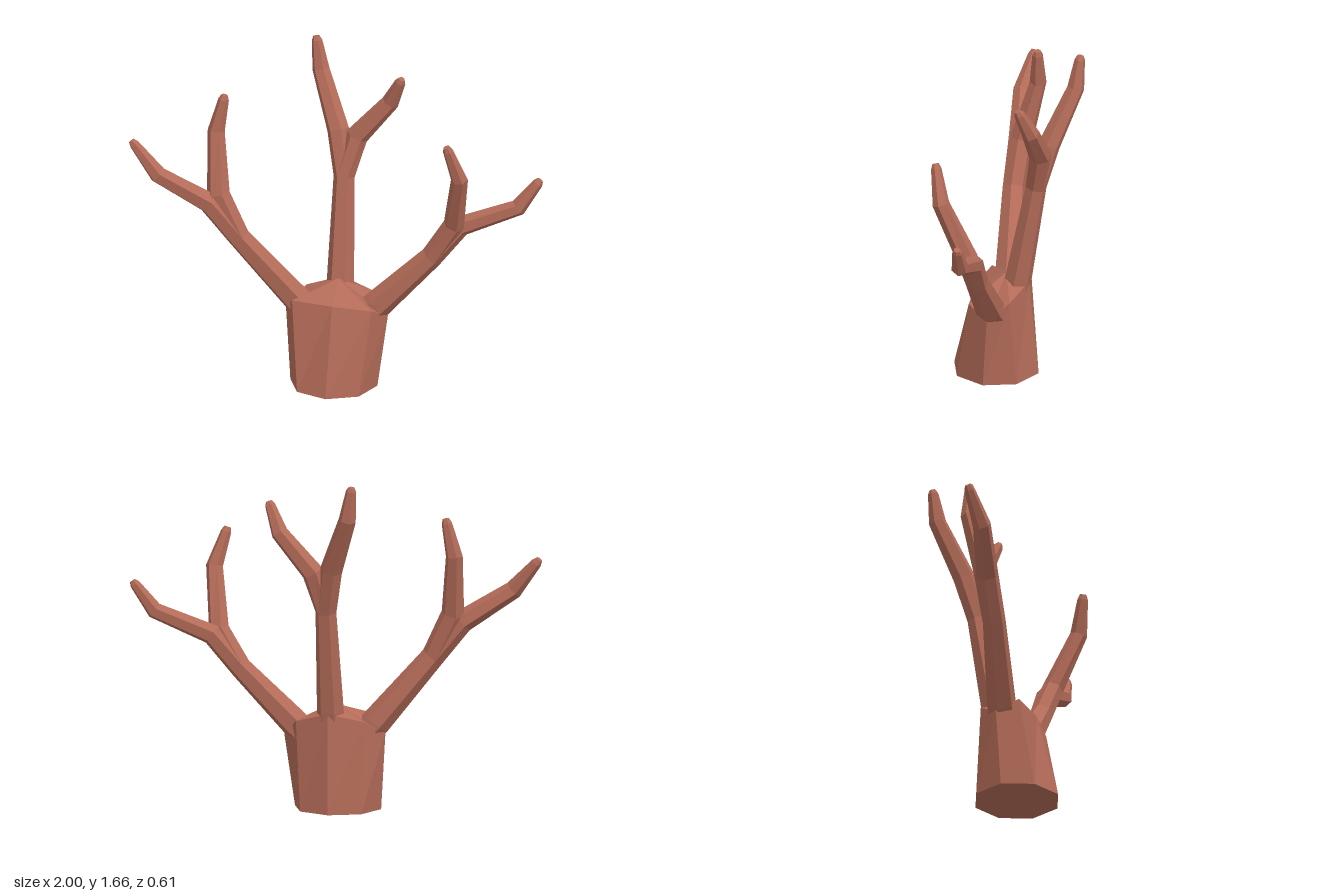
import * as THREE from 'three';

const SIDES = 6;
const vec = (p) => new THREE.Vector3(p[0], p[1], p[2]);
const bark = new THREE.MeshStandardMaterial({ color: 0xb36b58, flatShading: true });

// Skin a list of equal-length rings, closing both ends with fans
function loft(name, rings, startCentre, endCentre) {
  const pos = [];
  const tri = (...pts) => pts.forEach((p) => pos.push(p.x, p.y, p.z));
  const n = rings[0].length;
  const last = rings[rings.length - 1];
  for (let i = 0; i < n; i++) {
    const j = (i + 1) % n;
    for (let k = 0; k < rings.length - 1; k++) {
      const a = rings[k], b = rings[k + 1];
      tri(a[i], a[j], b[j]);
      tri(a[i], b[j], b[i]);
    }
    tri(rings[0][j], rings[0][i], startCentre);
    tri(last[i], last[j], endCentre);
  }
  const geo = new THREE.BufferGeometry();
  geo.setAttribute('position', new THREE.Float32BufferAttribute(pos, 3));
  geo.computeVertexNormals();
  const mesh = new THREE.Mesh(geo, bark);
  mesh.name = name;
  return mesh;
}

// Faceted tapering limb; path entries are [x, y, z, radius]
function limb(name, path, startDir) {
  const pts = path.map(vec);
  const seg = (k) => pts[k + 1].clone().sub(pts[k]).normalize();
  const end = pts.length - 1;
  const rings = pts.map((c, k) => {
    const t = k === 0 ? (startDir || seg(0)).clone()
      : k === end ? seg(end - 1) : seg(k - 1).add(seg(k)).normalize();
    const u = new THREE.Vector3(0, 0, 1).cross(t).normalize();
    const v = t.clone().cross(u);
    return Array.from({ length: SIDES }, (_, i) => {
      const a = (i / SIDES) * Math.PI * 2;
      return c.clone()
        .addScaledVector(u, Math.cos(a) * path[k][3])
        .addScaledVector(v, Math.sin(a) * path[k][3]);
    });
  });
  return loft(name, rings, pts[0], pts[end]);
}

// One main limb that splits into two bent, tapering twigs
function branch(name, main, twigs) {
  const group = new THREE.Group();
  group.name = name;
  group.add(limb(name + 'Limb', main));
  const [a, b] = main.slice(-2);
  const dir = vec(b).sub(vec(a)).normalize();
  twigs.forEach((twig, i) => {
    const [bend, tip] = twig.slice(-2);
    // short narrowing section just before the rounded tip
    const near = bend.map((p, k) => p + (tip[k] - p) * 0.88);
    near[3] = 0.026;
    group.add(limb(name + 'Twig' + (i + 1), [b, ...twig.slice(0, -1), near, tip], dir));
  });
  return group;
}

function trunk() {
  const base = Array.from({ length: 8 }, (_, i) => {
    const a = (i / 8) * Math.PI * 2;
    return new THREE.Vector3(-0.01 + Math.sin(a) * 0.215, 0, 0.095 + Math.cos(a) * 0.215);
  });
  // Uneven rim, running round from the front towards +x
  const rim = [
    [0, 0.44, 0.195], [0.19, 0.42, 0.17], [0.25, 0.36, 0.06], [0.17, 0.44, -0.03],
    [0, 0.49, -0.075], [-0.17, 0.45, -0.03], [-0.25, 0.38, 0.08], [-0.2, 0.45, 0.18],
  ].map(vec);
  return loft('trunk', [base, rim], new THREE.Vector3(-0.01, 0, 0.095), new THREE.Vector3(0, 0.525, 0.04));
}

export function createModel() {
  const model = new THREE.Group();
  model.name = 'branchingStump';
  model.add(trunk());

  model.add(branch('leftBranch',
    [[0.13, 0.35, 0.06, 0.07], [0.2, 0.415, 0.06, 0.072], [0.46, 0.675, 0.04, 0.055]],
    [
      [[0.6, 0.84, 0.015, 0.052], [0.88, 0.95, -0.01, 0.042], [0.985, 1.095, -0.03, 0.016]],
      [[0.575, 0.86, 0.055, 0.052], [0.625, 1.15, 0.17, 0.042], [0.57, 1.335, 0.215, 0.016]],
    ]));

  model.add(branch('rightBranch',
    [[-0.13, 0.35, 0.08, 0.07], [-0.2, 0.43, 0.09, 0.072], [-0.465, 0.75, 0.155, 0.057]],
    [
      [[-0.61, 0.93, 0.175, 0.056], [-0.85, 1.085, 0.24, 0.045], [-0.985, 1.245, 0.22, 0.016]],
      [[-0.57, 0.97, 0.15, 0.058], [-0.595, 1.27, 0.075, 0.042], [-0.555, 1.455, 0.065, 0.016]],
    ]));

  model.add(branch('middleBranch',
    [[0, 0.42, -0.005, 0.065], [0, 0.5, -0.02, 0.067], [0, 1.0, -0.11, 0.052]],
    [
      [[-0.04, 1.22, -0.165, 0.055], [-0.145, 1.49, -0.265, 0.043], [-0.17, 1.655, -0.28, 0.016]],
      [[0.055, 1.2, -0.15, 0.055], [0.22, 1.39, -0.155, 0.043], [0.285, 1.535, -0.11, 0.016]],
    ]));

  return model;
}
